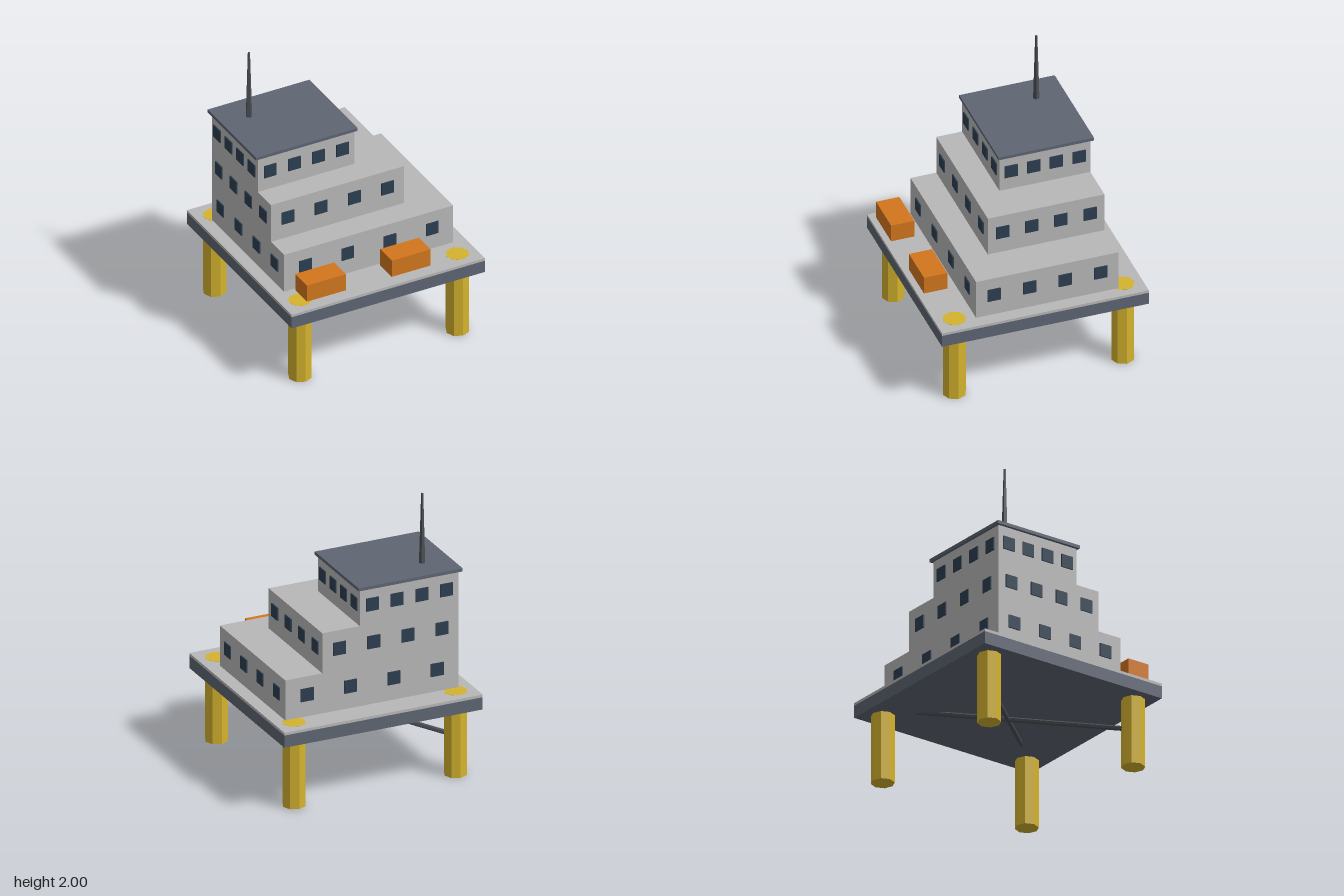
import * as THREE from 'three';

const mat = (name, color, flatShading = false) => {
  const m = new THREE.MeshStandardMaterial({ color, flatShading });
  m.name = name;
  return m;
};

export function createModel() {
  const grey = mat('pale grey', 0xb8b8b8);
  const slate = mat('slate', 0x5e6673);
  const glass = mat('window blue', 0x2c3e50);
  const yellow = mat('leg yellow', 0xd4b32e, true);
  const orange = mat('lifeboat orange', 0xd2761e);
  const steel = mat('dark steel', 0x4c5056, true);

  const model = new THREE.Group();
  model.name = 'offshorePlatform';

  const add = (name, geometry, material, x = 0, y = 0, z = 0, parent = model) => {
    const mesh = new THREE.Mesh(geometry, material);
    mesh.name = name;
    mesh.position.set(x, y, z);
    parent.add(mesh);
    return mesh;
  };
  // Box given by its limits on each axis
  const block = (name, material, [x0, x1], [y0, y1], [z0, z1], parent = model) =>
    add(name, new THREE.BoxGeometry(x1 - x0, y1 - y0, z1 - z0), material,
      (x0 + x1) / 2, (y0 + y1) / 2, (z0 + z1) / 2, parent);

  // Deck with a pale walking surface
  block('deck', slate, [-0.742, 0.742], [0.5, 0.59], [-0.742, 0.742]);
  block('deckSurface', grey, [-0.742, 0.742], [0.59, 0.61], [-0.742, 0.742]);

  // Octagonal legs, their caps just showing through the deck
  const legGeometry = new THREE.CylinderGeometry(0.082, 0.082, 0.611, 8);
  for (const x of [-0.604, 0.604])
    for (const z of [-0.604, 0.604]) add('leg', legGeometry, yellow, x, 0.3055, z);

  // Two diagonal braces rising into the deck
  for (const s of [-1, 1]) {
    const a = new THREE.Vector3(-0.604, 0.283, s * 0.604);
    const b = new THREE.Vector3(0.604, 0.55, -s * 0.604);
    const brace = add('brace', new THREE.CylinderGeometry(0.017, 0.017, a.distanceTo(b), 6), steel);
    brace.position.copy(a).lerp(b, 0.5);
    brace.quaternion.setFromUnitVectors(new THREE.Vector3(0, 1, 0), b.clone().sub(a).normalize());
  }

  // Stepped accommodation tiers sharing one back corner
  const X0 = -0.65, Z0 = -0.558, SIZE = 0.094, THIN = 0.009;
  const alongX = new THREE.BoxGeometry(SIZE, SIZE, THIN);
  const alongZ = new THREE.BoxGeometry(THIN, SIZE, SIZE);
  const tiers = [
    { x1: 0.647, z1: 0.464, y0: 0.61, y1: 0.905 },
    { x1: 0.37, z1: 0.279, y0: 0.905, y1: 1.2 },
    { x1: 0.09, z1: 0.094, y0: 1.2, y1: 1.466 },
  ];
  for (const { x1, z1, y0, y1 } of tiers) {
    const tier = new THREE.Group();
    tier.name = 'accommodationTier';
    model.add(tier);
    block('walls', grey, [X0, x1], [y0, y1], [Z0, z1], tier);
    // Four windows on every side
    const y = y0 + (y1 - y0) * 0.55;
    for (let i = 0; i < 4; i++) {
      const t = (i + 0.5) / 4;
      const x = X0 + (x1 - X0) * t, z = Z0 + (z1 - Z0) * t;
      add('frontWindow', alongX, glass, x, y, z1 + 0.004, tier);
      add('backWindow', alongX, glass, x, y, Z0 - 0.004, tier);
      add('leftWindow', alongZ, glass, x1 + 0.004, y, z, tier);
      add('rightWindow', alongZ, glass, X0 - 0.004, y, z, tier);
    }
  }

  // Roof and mast
  block('roof', slate, [-0.671, 0.108], [1.466, 1.489], [-0.578, 0.107]);
  add('mast', new THREE.CylinderGeometry(0.008, 0.023, 0.52, 5), steel, -0.467, 1.74, -0.372);

  // Lifeboats held above the front edge of the deck
  for (const x of [-0.465, 0.185])
    block('lifeboat', orange, [x - 0.149, x + 0.149], [0.666, 0.795], [0.557, 0.724]);

  return model;
}
